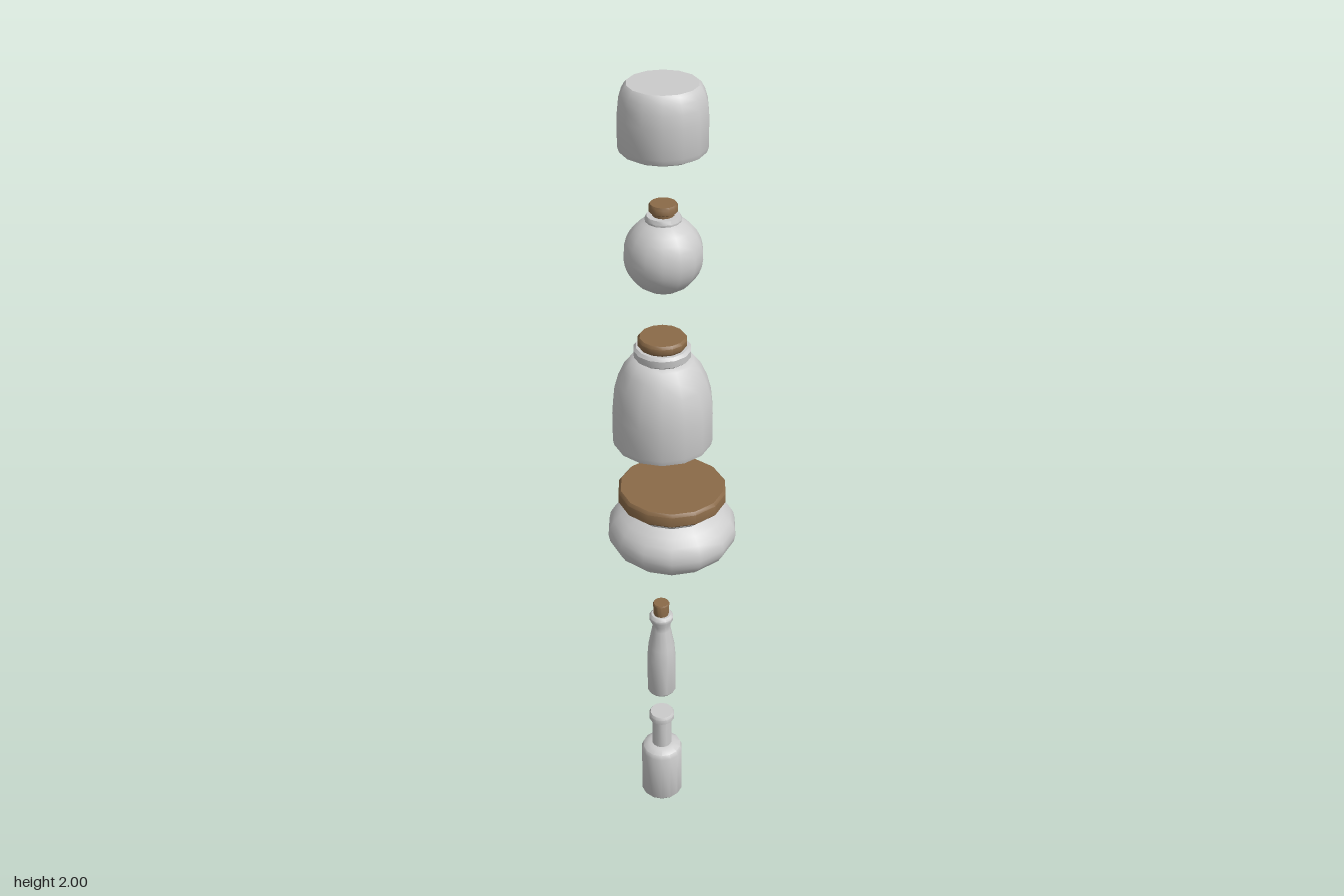
import * as THREE from 'three';
import { toCreasedNormals } from 'three/addons/utils/BufferGeometryUtils.js';

const SIDES = 14;
const glass = new THREE.MeshStandardMaterial({ color: 0xcccccc });
const cork = new THREE.MeshStandardMaterial({ color: 0x8a6a48 });

// Turned solid from [radius, height] pairs, bottom to top, closed at both ends
function turned(name, profile, material) {
  const points = profile.map(([r, y]) => new THREE.Vector2(r, y));
  points.unshift(new THREE.Vector2(0, points[0].y));
  points.push(new THREE.Vector2(0, points[points.length - 1].y));
  const geometry = new THREE.LatheGeometry(points, SIDES, Math.PI / 2);
  const mesh = new THREE.Mesh(toCreasedNormals(geometry, 0.7), material);
  mesh.name = name;
  return mesh;
}

// Rounded outline between two angles of an ellipse
function arc(cy, rx, ry, from, to, steps) {
  return Array.from({ length: steps + 1 }, (_, i) => {
    const a = from + (to - from) * i / steps;
    return [rx * Math.cos(a), cy + ry * Math.sin(a)];
  });
}

export function createModel() {
  const group = new THREE.Group();
  group.name = 'jarsAndBottles';

  const items = [
    { // straight bottle with a long neck and a lip
      name: 'longNeckBottle', x: -0.035,
      body: [[0.05, 0], [0.055, 0.006], [0.055, 0.148], [0.05, 0.16], [0.036, 0.168],
        [0.026, 0.17], [0.026, 0.255], [0.033, 0.258], [0.034, 0.272], [0.03, 0.279]],
    },
    { // slim tapering bottle
      name: 'slimBottle', x: -0.035,
      body: [[0.033, 0.358], [0.037, 0.364], [0.037, 0.475], [0.034, 0.51], [0.024, 0.565],
        [0.023, 0.58], [0.031, 0.598], [0.031, 0.606], [0.025, 0.613]],
      stopper: [[0.019, 0.605], [0.021, 0.645], [0.019, 0.648]],
    },
    { // wide squat pot
      name: 'squatPot', x: 0,
      body: [...arc(0.87, 0.159, 0.09, -1.3, 0.85, 10).map(([r, y]) => [r, Math.max(y, 0.782)]),
        [0.108, 0.943], [0.115, 0.948], [0.115, 0.96]],
      stopper: [[0.126, 0.957], [0.132, 0.963], [0.132, 0.988], [0.126, 0.995]],
    },
    { // tall domed jar
      name: 'domedJar', x: -0.028,
      body: [[0.106, 1.131], [0.116, 1.137], [0.119, 1.15], [0.119, 1.225], [0.115, 1.263],
        [0.105, 1.3], [0.09, 1.333], [0.073, 1.355], [0.06, 1.36], [0.066, 1.365],
        [0.067, 1.382], [0.061, 1.389]],
      stopper: [[0.05, 1.385], [0.057, 1.394], [0.057, 1.407], [0.052, 1.413]],
    },
    { // round flask
      name: 'roundFlask', x: -0.024,
      body: [...arc(1.616, 0.089, 0.089, -1.3, 1.2, 12), [0.031, 1.702],
        [0.039, 1.692], [0.041, 1.7], [0.037, 1.708]].filter((p, i) => i !== 13),
      stopper: [[0.024, 1.7], [0.025, 1.714], [0.032, 1.718], [0.032, 1.73], [0.029, 1.735]],
    },
    { // plain jar with a flat top
      name: 'plainJar', x: -0.024,
      body: [[0.085, 1.853], [0.094, 1.858], [0.098, 1.87], [0.098, 1.935], [0.095, 1.962],
        [0.089, 1.982], [0.082, 1.995], [0.077, 2]],
    },
  ];

  for (const { name, x, body, stopper } of items) {
    const item = new THREE.Group();
    item.name = name;
    item.position.x = x;
    item.add(turned('body', body, glass));
    if (stopper) item.add(turned('stopper', stopper, cork));
    group.add(item);
  }
  return group;
}
